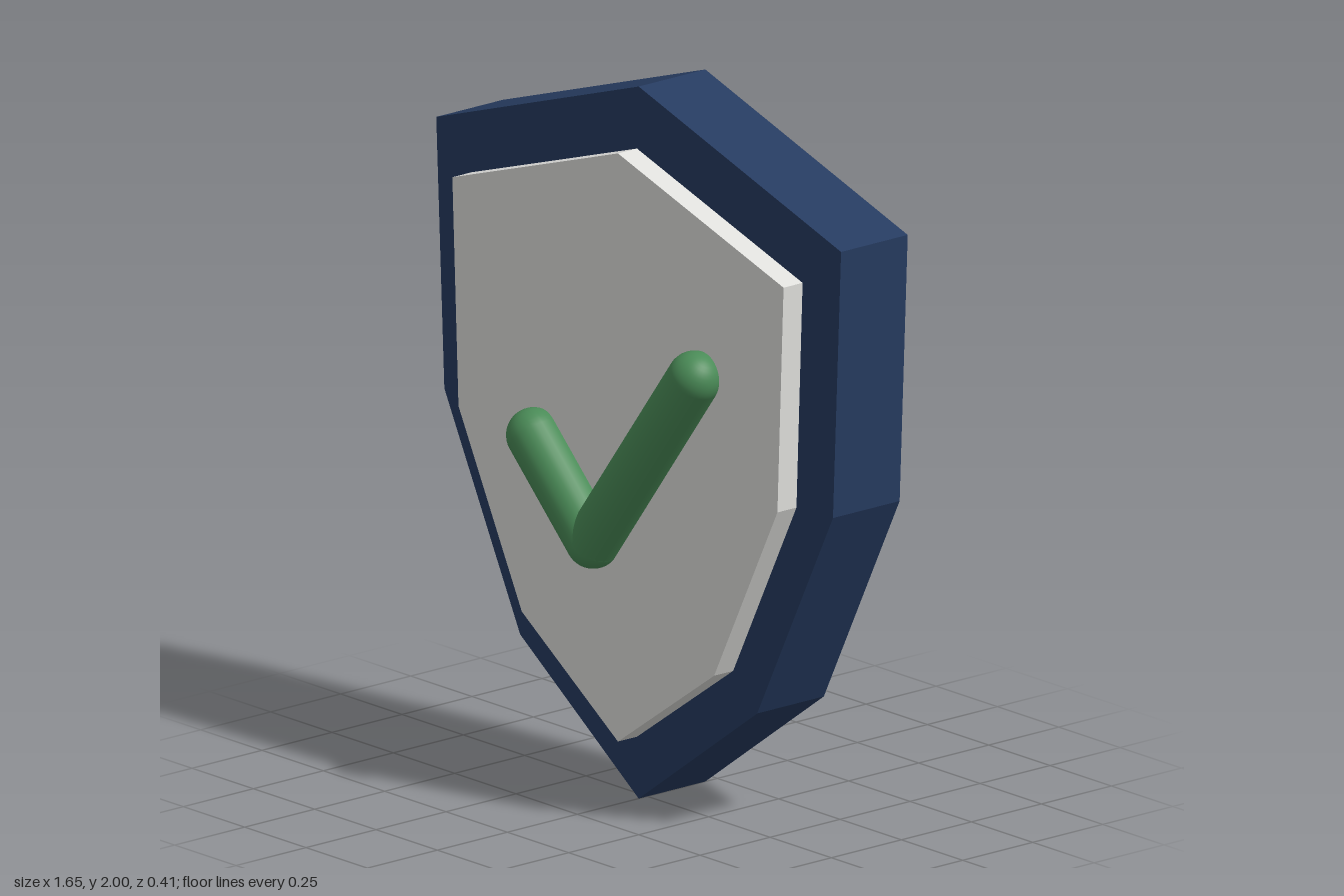
import * as THREE from 'three';

// Mirrored shield plate from its right-hand outline (top to bottom), between two depths
function shieldPlate(name, half, zBack, zFront, material) {
  const left = half.slice(1, -1).reverse().map(([x, y]) => [-x, y]);
  const shape = new THREE.Shape([...half, ...left].map(([x, y]) => new THREE.Vector2(x, y)));
  const geometry = new THREE.ExtrudeGeometry(shape, { depth: zFront - zBack, bevelEnabled: false });
  geometry.translate(0, 0, zBack);
  const mesh = new THREE.Mesh(geometry, material);
  mesh.name = name;
  return mesh;
}

// Round-ended bar between two points
function roundBar(name, a, b, radius, material) {
  const direction = b.clone().sub(a);
  const mesh = new THREE.Mesh(new THREE.CapsuleGeometry(radius, direction.length(), 10, 28), material);
  mesh.position.copy(a).add(b).multiplyScalar(0.5);
  mesh.quaternion.setFromUnitVectors(new THREE.Vector3(0, 1, 0), direction.normalize());
  mesh.name = name;
  return mesh;
}

export function createModel() {
  const navy = new THREE.MeshStandardMaterial({ color: 0x263b60 });
  navy.name = 'navy';
  const offWhite = new THREE.MeshStandardMaterial({ color: 0xe0e0dd });
  offWhite.name = 'offWhite';
  const green = new THREE.MeshStandardMaterial({ color: 0x4a8b57 });
  green.name = 'green';

  const model = new THREE.Group();
  model.name = 'shield';

  // Thick body and raised face panel
  const outer = [[0, 2], [0.825, 1.725], [0.792, 0.97], [0.483, 0.35], [0, 0]];
  const inner = [[0, 1.827], [0.675, 1.605], [0.65, 0.968], [0.392, 0.45], [0, 0.175]];
  model.add(shieldPlate('shieldBody', outer, -0.207, 0.031, navy));
  model.add(shieldPlate('facePanel', inner, 0.037, 0.105, offWhite));

  // Check mark resting on the panel
  const check = new THREE.Group();
  check.name = 'checkMark';
  const z = 0.132;
  const corner = new THREE.Vector3(-0.07, 0.728, z);
  check.add(roundBar('shortStroke', new THREE.Vector3(-0.312, 0.97, z), corner, 0.075, green));
  check.add(roundBar('longStroke', corner, new THREE.Vector3(0.343, 1.28, z), 0.075, green));
  model.add(check);

  return model;
}
